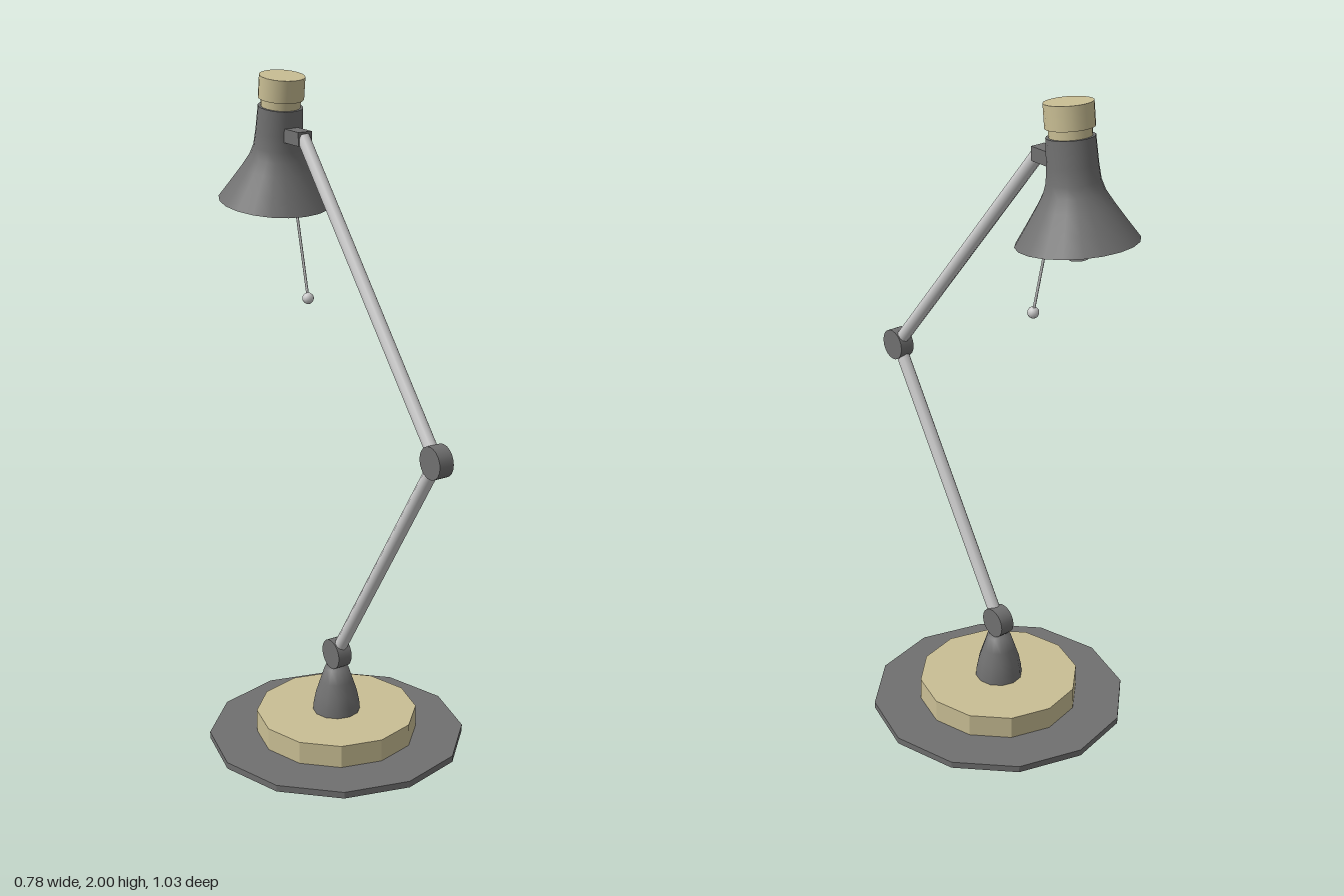
import * as THREE from 'three';

const steel = new THREE.MeshStandardMaterial({ color: 0xcccccc });
const dark = new THREE.MeshStandardMaterial({ color: 0x707070 });
const darkFlat = new THREE.MeshStandardMaterial({ color: 0x707070, flatShading: true });
const darkOpen = new THREE.MeshStandardMaterial({ color: 0x707070, side: THREE.DoubleSide });
const wood = new THREE.MeshStandardMaterial({ color: 0xc9be94 });
const woodFlat = new THREE.MeshStandardMaterial({ color: 0xc9be94, flatShading: true });

function add(parent, name, geometry, material, x = 0, y = 0, z = 0) {
  const mesh = new THREE.Mesh(geometry, material);
  mesh.name = name;
  mesh.position.set(x, y, z);
  parent.add(mesh);
  return mesh;
}

// Profile given from bottom to top as [radius, height]
function lathe(points, sides) {
  return new THREE.LatheGeometry(points.map(([r, y]) => new THREE.Vector2(r, y)), sides);
}

// Round rod between two points
function rod(parent, name, from, to, radius, sides) {
  const dir = to.clone().sub(from);
  const mesh = add(parent, name, new THREE.CylinderGeometry(radius, radius, dir.length(), sides), steel);
  mesh.position.copy(from).add(to).multiplyScalar(0.5);
  mesh.quaternion.setFromUnitVectors(new THREE.Vector3(0, 1, 0), dir.normalize());
  return mesh;
}

// Disc joint turning about the x axis
function joint(parent, name, center, radius) {
  const geometry = new THREE.CylinderGeometry(radius, radius, 0.046, 20).rotateZ(Math.PI / 2);
  add(parent, name, geometry, dark, center.x, center.y, center.z);
}

export function createModel() {
  const lamp = new THREE.Group();
  lamp.name = 'deskLamp';
  const baseZ = -0.02;

  // Twelve-sided base plate, wooden disc and bell-shaped stem
  add(lamp, 'basePlate', new THREE.CylinderGeometry(0.39, 0.39, 0.02, 12), darkFlat, 0, 0.01, baseZ);
  add(lamp, 'baseDisc', new THREE.CylinderGeometry(0.245, 0.245, 0.07, 12), woodFlat, 0, 0.055, baseZ);
  add(lamp, 'stem', lathe([
    [0.072, 0.09], [0.07, 0.115], [0.063, 0.15], [0.05, 0.19], [0.036, 0.232], [0, 0.24],
  ], 12), dark, 0, 0, baseZ);

  // Jointed arm
  const knuckle = new THREE.Vector3(0, 0.28, -0.017);
  const elbow = new THREE.Vector3(0, 1.045, 0.473);
  const wrist = new THREE.Vector3(0, 1.828, -0.19);
  joint(lamp, 'lowerJoint', knuckle, 0.046);
  joint(lamp, 'elbowJoint', elbow, 0.047);
  rod(lamp, 'lowerArm', knuckle, elbow, 0.02, 10);
  rod(lamp, 'upperArm', elbow, wrist, 0.02, 10);
  add(lamp, 'shadeBracket', new THREE.BoxGeometry(0.046, 0.04, 0.095), dark, 0, 1.825, -0.2275);

  // Tilted head, with its origin at the centre of the shade rim
  const head = new THREE.Group();
  head.name = 'head';
  head.position.set(0, 1.62, -0.347);
  head.rotation.x = 0.125;
  lamp.add(head);

  add(head, 'shade', lathe([
    [0.168, 0], [0.135, 0.05], [0.103, 0.1], [0.083, 0.135], [0.073, 0.165], [0.069, 0.21], [0.066, 0.282],
  ], 20), darkOpen);
  add(head, 'shadeTop', new THREE.CylinderGeometry(0.066, 0.066, 0.008, 20), dark, 0, 0.279, 0);
  add(head, 'capNeck', new THREE.CylinderGeometry(0.058, 0.058, 0.03, 20), wood, 0, 0.295, 0);
  add(head, 'cap', new THREE.CylinderGeometry(0.067, 0.067, 0.066, 20), wood, 0, 0.34, 0);

  // Bulb and its socket
  add(head, 'bulb', lathe([
    [0, -0.053], [0.027, -0.046], [0.046, -0.027], [0.053, 0],
    [0.048, 0.027], [0.036, 0.055], [0.027, 0.085], [0.025, 0.12],
  ], 16), steel);
  add(head, 'socket', new THREE.CylinderGeometry(0.035, 0.035, 0.165, 16), dark, 0, 0.195, 0);

  // Pull cord with a bead
  const bead = new THREE.Vector3(0, 1.36, -0.169);
  rod(lamp, 'pullCord', bead, new THREE.Vector3(0, 1.68, -0.246), 0.004, 6);
  add(lamp, 'pullBead', new THREE.SphereGeometry(0.017, 12, 8), steel, 0, bead.y, bead.z);

  return lamp;
}
